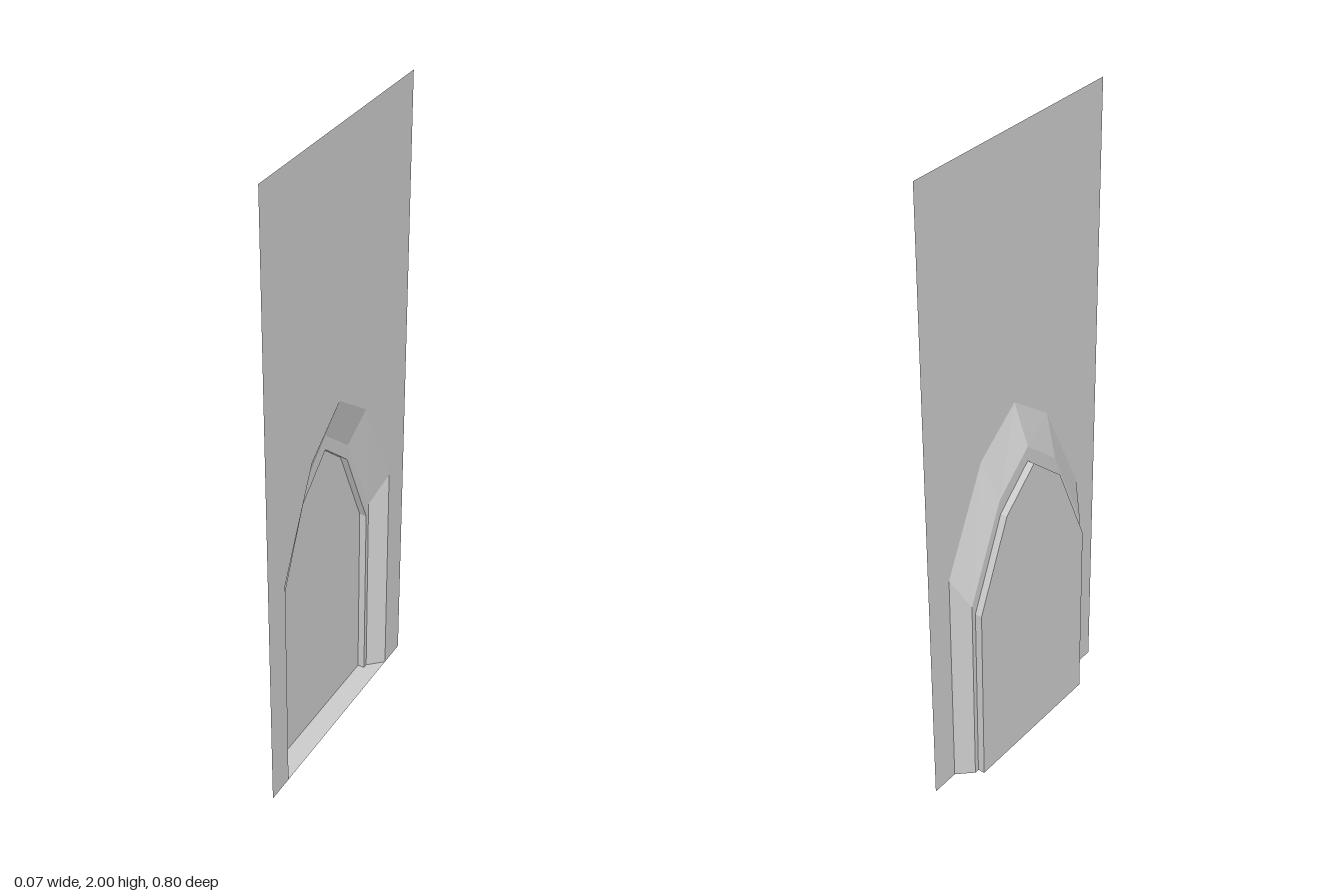
import * as THREE from 'three';

// Half outlines of the pointed arch, from the floor up to the apex: [side, height]
const OUTER = [[0.309, 0], [0.309, 0.74], [0.155, 1.06], [0, 1.175]];
const INNER = [[0.266, 0], [0.266, 0.64], [0.132, 0.935], [0, 1.045]];
const DOOR = [[0.251, 0], [0.251, 0.605], [0.128, 0.887], [0, 0.997]];

// Depths of the wall face, the rim step and the door panel
const FACE = 0.034, STEP = -0.012, BACK = -0.034;

// Full outline: up one side, over the apex, down the other
function arch(half) {
  const left = half.map(([s, y]) => new THREE.Vector2(-s, y));
  const right = half.slice(0, -1).reverse().map(([s, y]) => new THREE.Vector2(s, y));
  return [...left, ...right];
}

// Flat-faced band between two arch outlines; a closed band also gets its piece of floor
function band(a, depthA, b, depthB, closed) {
  const pos = [];
  const n = a.length;
  for (let i = 0; i < (closed ? n : n - 1); i++) {
    const j = (i + 1) % n;
    const a0 = [a[i].x, a[i].y, depthA], a1 = [a[j].x, a[j].y, depthA];
    const b0 = [b[i].x, b[i].y, depthB], b1 = [b[j].x, b[j].y, depthB];
    pos.push(...a0, ...b0, ...b1, ...a0, ...b1, ...a1);
  }
  const geometry = new THREE.BufferGeometry();
  geometry.setAttribute('position', new THREE.Float32BufferAttribute(pos, 3));
  geometry.computeVertexNormals();
  return geometry;
}

export function createModel() {
  const material = new THREE.MeshStandardMaterial({
    color: 0xcccccc, flatShading: true, side: THREE.DoubleSide,
  });
  const model = new THREE.Group();
  model.name = 'archedDoorway';
  const add = (name, geometry) => {
    geometry.rotateY(Math.PI / 2); // the doorway faces +x
    const mesh = new THREE.Mesh(geometry, material);
    mesh.name = name;
    model.add(mesh);
  };
  const outer = arch(OUTER), inner = arch(INNER), door = arch(DOOR);

  // Thin wall sheet, cut away around the archway down to the floor
  const wall = new THREE.Shape([
    new THREE.Vector2(-0.4, 0), ...outer, new THREE.Vector2(0.4, 0),
    new THREE.Vector2(0.4, 2), new THREE.Vector2(-0.4, 2),
  ]);
  add('wall', new THREE.ShapeGeometry(wall).translate(0, 0, FACE));

  // Splayed surround, flat rim and straight reveal, stepping back to the door
  add('splayedSurround', band(outer, FACE, inner, STEP, true));
  add('rim', band(inner, STEP, door, STEP, false));
  add('reveal', band(door, STEP, door, BACK, true));

  // Door panel
  add('doorPanel', new THREE.ShapeGeometry(new THREE.Shape(door)).translate(0, 0, BACK));

  return model;
}
